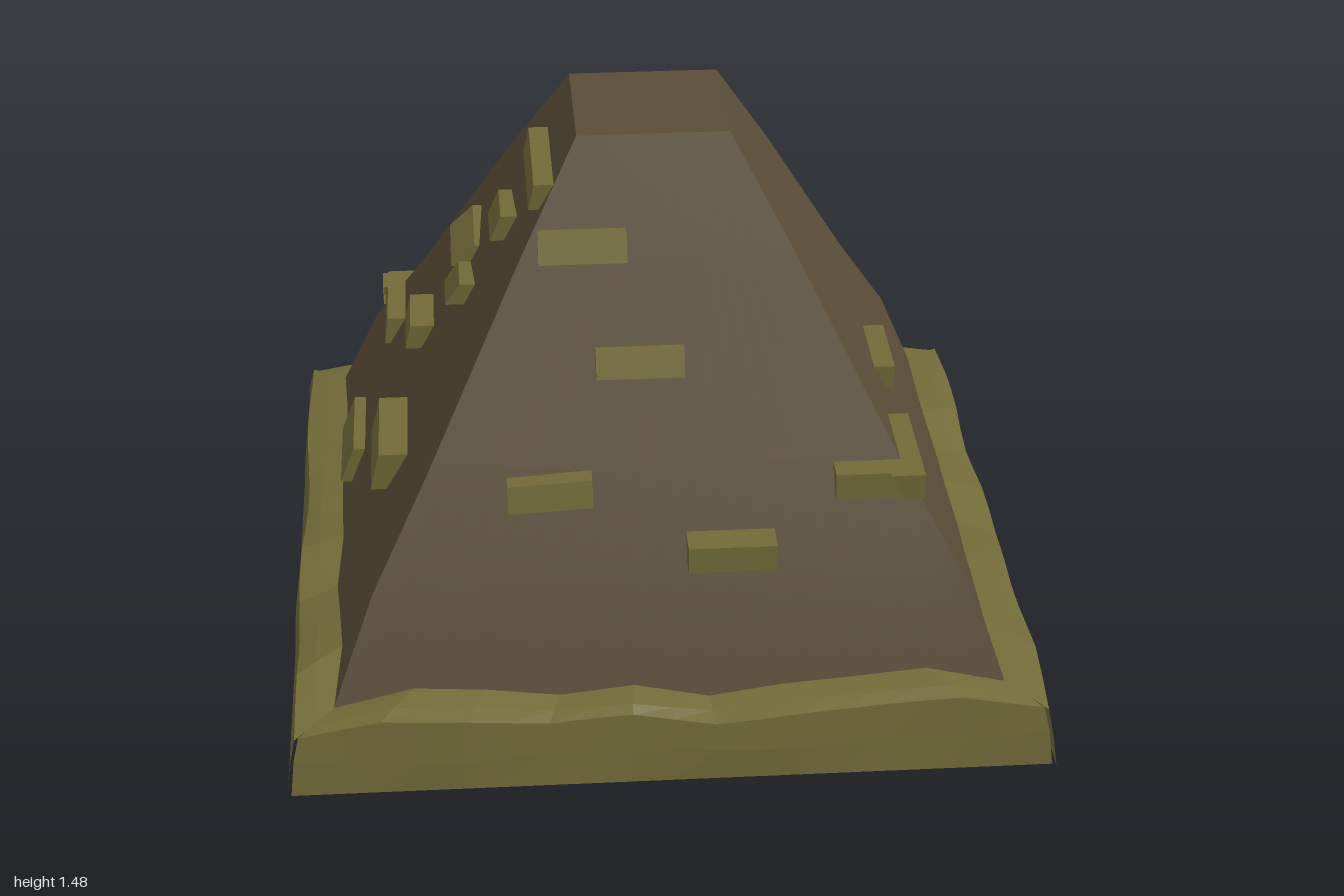
import * as THREE from 'three';

const stone = new THREE.MeshStandardMaterial({ color: 0x5a4d38, side: THREE.DoubleSide });
const moss = new THREE.MeshStandardMaterial({ color: 0x726a38, side: THREE.DoubleSide, flatShading: true });

// Half width of the sloping wall at height y
const PROFILE = [[0.885, 0.16], [0.765, 0.46], [0.61, 0.73], [0.36, 1.2], [0.2, 1.48]];
function wallAt(y) {
  for (let i = 1; i < PROFILE.length; i++) {
    const [d0, y0] = PROFILE[i - 1], [d1, y1] = PROFILE[i];
    if (y <= y1) return d0 + (d1 - d0) * (y - y0) / (y1 - y0);
  }
  return 0.2;
}

// Wavy upper edge of the plinth, sampled along each side (s from -1 to 1)
const WAVES = [
  [0.185, 0.225, 0.215, 0.195, 0.212, 0.178, 0.2, 0.212, 0.225, 0.185],
  [0.185, 0.235, 0.22, 0.215, 0.185, 0.205, 0.195, 0.22, 0.21, 0.185],
  [0.185, 0.22, 0.205, 0.22, 0.19, 0.18, 0.205, 0.2, 0.225, 0.185],
  [0.185, 0.21, 0.225, 0.195, 0.2, 0.215, 0.18, 0.21, 0.235, 0.185],
];
function waveAt(side, s) {
  const w = WAVES[side], t = (s + 1) / 2 * (w.length - 1);
  const i = Math.min(Math.floor(t), w.length - 2);
  return THREE.MathUtils.lerp(w[i], w[i + 1], t - i);
}

// Mitred side strip: each row maps s to [distance from centre, height]
function strip(rows, columns = 18) {
  const pos = [], index = [], n = columns + 1;
  for (const row of rows) {
    for (let i = 0; i < n; i++) {
      const s = i / columns * 2 - 1, [d, y] = row(s);
      pos.push(s * d, y, d);
    }
  }
  for (let r = 0; r < rows.length - 1; r++) {
    for (let i = 0; i < columns; i++) {
      const a = r * n + i, b = a + n;
      index.push(a, a + 1, b + 1, a, b + 1, b);
    }
  }
  const g = new THREE.BufferGeometry();
  g.setAttribute('position', new THREE.Float32BufferAttribute(pos, 3));
  g.setIndex(index);
  g.computeVertexNormals();
  return g;
}

// Open-backed brick that follows the wall; d0 and d1 are its outer face at bottom and top
function brick([u0, u1, y0, y1, d0, d1, roll = 0]) {
  const g = new THREE.BoxGeometry(1, 1, 1);
  g.setIndex(Array.from(g.index.array).slice(0, 30));
  const p = g.attributes.position, cu = (u0 + u1) / 2;
  for (let i = 0; i < p.count; i++) {
    const top = p.getY(i) > 0, u = p.getX(i) < 0 ? u0 : u1;
    const y = (top ? y1 : y0) + (u - cu) * roll;
    p.setXYZ(i, u, y, p.getZ(i) > 0 ? (top ? d1 : d0) : wallAt(y) - 0.035);
  }
  g.computeVertexNormals();
  return g;
}

// Bricks per side: front, left, back, right; u runs rightwards seen from outside
const BRICKS = [
  [
    [-0.31, -0.08, 1.2, 1.27, 0.385, 0.35],
    [-0.17, 0.06, 0.935, 1.0, 0.525, 0.495],
    [-0.41, -0.19, 0.645, 0.715, 0.69, 0.67, 0.05],
    [0.05, 0.28, 0.505, 0.575, 0.79, 0.785],
    [0.44, 0.67, 0.65, 0.72, 0.69, 0.685],
  ],
  [
    [-0.7, -0.38, 0.65, 0.72, 0.67, 0.67],
    [-0.13, 0.11, 0.655, 0.725, 0.67, 0.67],
  ],
  [
    [-0.49, -0.18, 0.22, 0.3, 0.915, 0.89],
    [0.02, 0.33, 0.37, 0.47, 0.84, 0.825],
    [-0.32, -0.13, 0.54, 0.62, 0.74, 0.73],
    [-0.11, 0.09, 0.79, 0.86, 0.605, 0.58, 0.08],
    [-0.12, 0.06, 1.14, 1.21, 0.4, 0.39],
    [0.06, 0.24, 1.14, 1.2, 0.405, 0.385],
    [0.51, 0.74, 0.54, 0.62, 0.74, 0.73],
  ],
  [
    [-0.41, -0.11, 0.275, 0.38, 0.87, 0.83],
    [0.04, 0.35, 0.525, 0.63, 0.77, 0.745],
    [-0.74, -0.44, 0.54, 0.62, 0.735, 0.725],
    [-0.3, -0.11, 0.7, 0.77, 0.67, 0.655],
    [-0.31, -0.1, 0.97, 1.03, 0.535, 0.47, -0.1],
    [-0.11, 0.07, 0.92, 0.98, 0.555, 0.515, 0.1],
    [-0.09, 0.11, 1.13, 1.2, 0.43, 0.4, 0.08],
    [-0.1, 0.26, 1.3, 1.37, 0.33, 0.315],
  ],
];

export function createModel() {
  const model = new THREE.Group();
  model.name = 'steppedPyramid';
  const add = (parent, name, geometry, material) => {
    const m = new THREE.Mesh(geometry, material);
    m.name = name;
    parent.add(m);
    return m;
  };

  ['front', 'left', 'back', 'right'].forEach((name, k) => {
    const side = new THREE.Group();
    side.name = name + 'Side';
    side.rotation.y = k * Math.PI / 2;
    model.add(side);
    const wave = s => waveAt(k, s);
    const bump = s => 0.008 * Math.sin(7 * s + 2 * k) * (1 - s * s);

    // Sloping wall, starting at the wavy plinth edge
    add(side, 'wall', strip([
      s => [wallAt(wave(s)), wave(s)],
      ...PROFILE.slice(1).map(p => () => p),
    ]), stone);

    // Inner skirt and ledge beneath the wall
    add(side, 'skirt', strip([() => [0.982, 0], s => [0.95, wave(s) - 0.04]]), stone);
    add(side, 'ledge', strip([
      s => [0.95, wave(s) - 0.04],
      s => [wallAt(wave(s)), wave(s) - 0.005],
    ]), stone);

    // Uneven mossy plinth
    const reach = k % 2 ? 1 : 0.99;
    add(side, 'plinth', strip([
      () => [reach, 0],
      s => [reach - 0.01 + bump(s), 0.09 + 2 * bump(s + 0.4)],
      s => [reach - 0.025 + bump(s), wave(s) - 0.022],
      s => [0.925 + bump(s + 0.3), wave(s) - 0.008],
      s => [wallAt(wave(s)) - 0.002, wave(s) + 0.003],
    ]), moss);

    for (const b of BRICKS[k]) add(side, 'brick', brick(b), moss);
  });

  // Flat summit
  const summit = add(model, 'summit', new THREE.PlaneGeometry(0.4, 0.4), stone);
  summit.rotation.x = -Math.PI / 2;
  summit.position.y = 1.48;
  return model;
}
